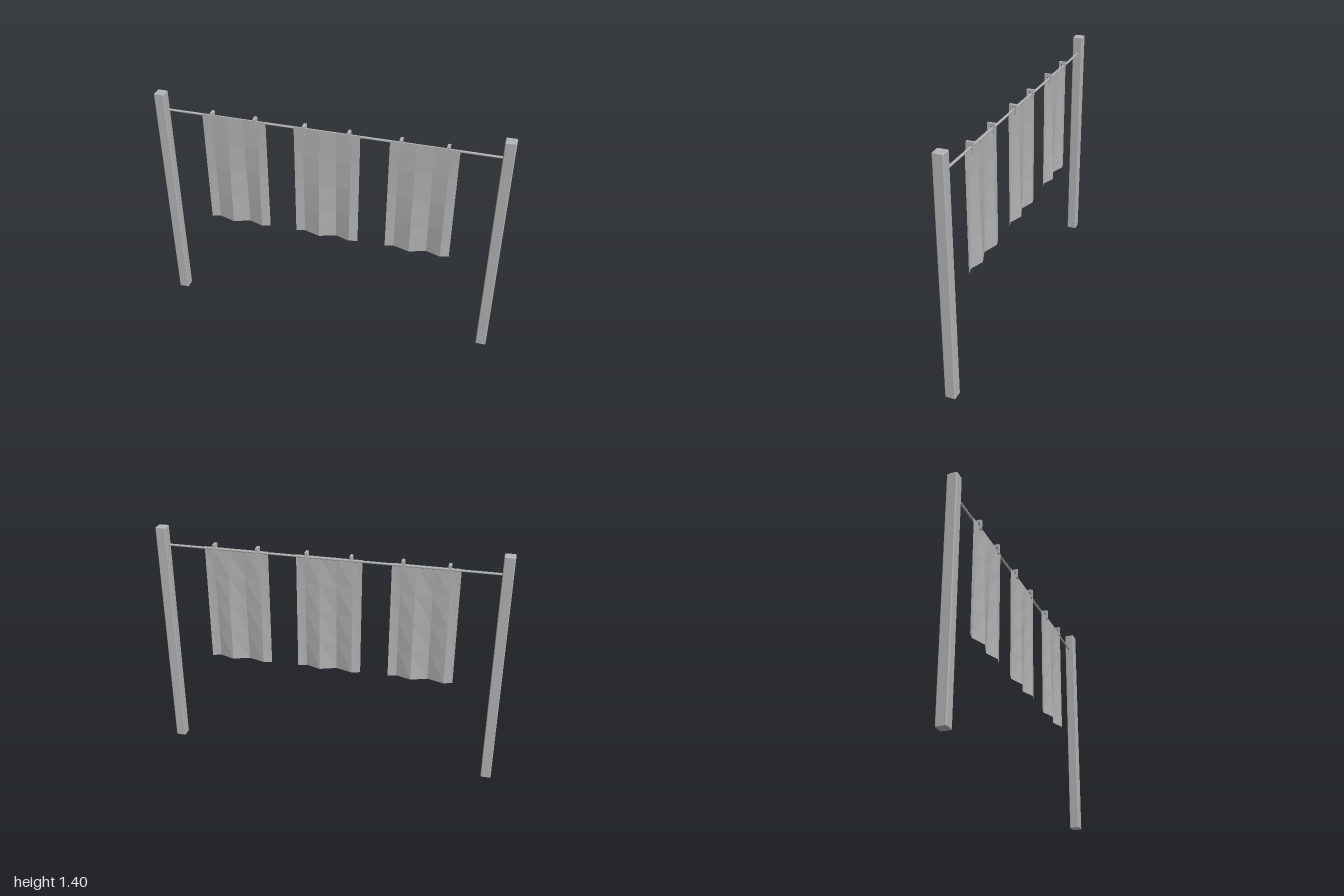
import * as THREE from 'three';
import { RoundedBoxGeometry } from 'three/addons/geometries/RoundedBoxGeometry.js';

const grey = new THREE.MeshStandardMaterial({ color: 0xb4b4b4 });
grey.name = 'plainGrey';
const clothGrey = new THREE.MeshStandardMaterial({ color: 0xb4b4b4, side: THREE.DoubleSide, flatShading: true });
clothGrey.name = 'clothGrey';

const POST_X = 0.97, LINE_Y = 1.293, LINE_Z = -0.004, CLOTH_Z = 0.003;

function addMesh(parent, name, geometry, material, x, y, z) {
  const mesh = new THREE.Mesh(geometry, material);
  mesh.name = name;
  mesh.position.set(x, y, z);
  parent.add(mesh);
  return mesh;
}

// Sheet that is flat along the top and folds more towards the hem
function clothGeometry() {
  const width = 0.375, top = 1.3, bottom = 0.6;
  const folds = [[0, 0], [0.05, -0.014], [0.145, 0.017], [0.24, -0.017], [0.325, 0.014], [0.375, 0]];
  const geometry = new THREE.PlaneGeometry(1, 1, folds.length - 1, 4);
  const p = geometry.attributes.position;
  for (let i = 0; i < p.count; i++) {
    const [x, z] = folds[i % folds.length];
    const drop = Math.floor(i / folds.length) / 4;
    p.setXYZ(i, x - width / 2, top + (bottom - top) * drop, z * drop);
  }
  geometry.computeVertexNormals();
  return geometry;
}

// Peg: an upside-down U straddling the line, extruded along x
function pegGeometry() {
  const w = 0.016;
  const shape = new THREE.Shape([
    [-0.02, -0.03], [-0.010, -0.03], [-0.010, 0.012], [0.010, 0.012],
    [0.010, -0.03], [0.02, -0.03], [0.02, 0.03], [-0.02, 0.03],
  ].map(([x, y]) => new THREE.Vector2(x, y)));
  const geometry = new THREE.ExtrudeGeometry(shape, { depth: w, bevelEnabled: false });
  return geometry.translate(0, 0, -w / 2).rotateY(Math.PI / 2);
}

export function createModel() {
  const model = new THREE.Group();
  model.name = 'clothesline';

  // Posts with softened edges
  const post = new RoundedBoxGeometry(0.06, 1.4, 0.06, 2, 0.006);
  addMesh(model, 'leftPost', post, grey, POST_X, 0.7, 0);
  addMesh(model, 'rightPost', post, grey, -POST_X, 0.7, 0);

  // Line between the posts
  const line = new THREE.CylinderGeometry(0.007, 0.007, 2 * POST_X - 0.05, 8).rotateZ(Math.PI / 2);
  addMesh(model, 'line', line, grey, 0, LINE_Y, LINE_Z);

  // Three sheets, each held by two pegs
  const cloth = clothGeometry(), peg = pegGeometry();
  [-0.54, -0.003, 0.534].forEach((x, i) => {
    const sheet = new THREE.Group();
    sheet.name = `hangingSheet${i + 1}`;
    sheet.position.x = x;
    addMesh(sheet, 'cloth', cloth, clothGrey, 0, 0, CLOTH_Z);
    for (const side of [-1, 1]) {
      addMesh(sheet, side > 0 ? 'leftPeg' : 'rightPeg', peg, grey, side * 0.126, 1.291, 0.003);
    }
    model.add(sheet);
  });
  return model;
}
